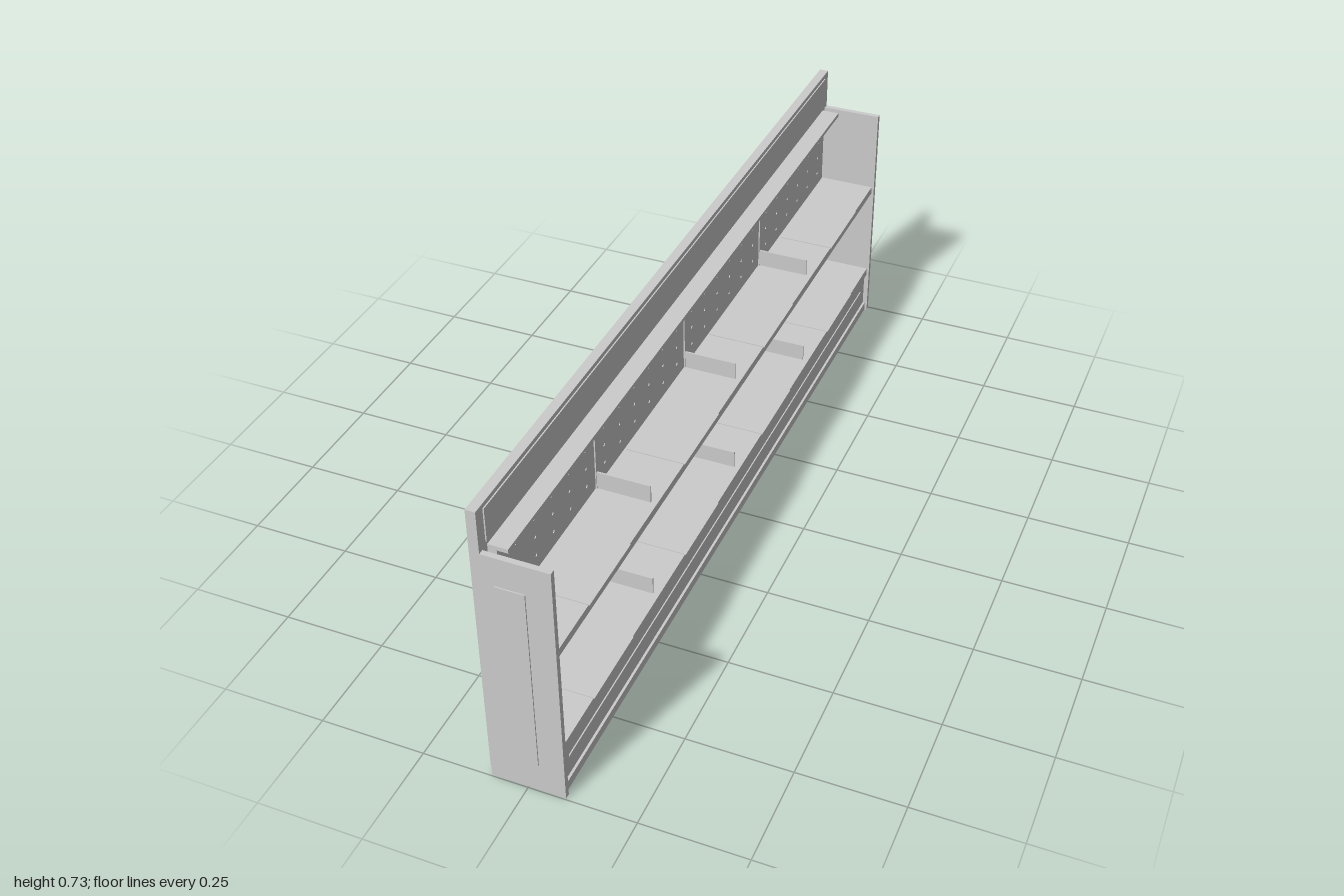
import * as THREE from 'three';

export function createModel() {
  const root = new THREE.Group();
  const grey = new THREE.MeshStandardMaterial({ color: 0xcccccc });
  grey.name = 'lightGrey';

  // box given by its min and max corner along each axis
  const box = (name, x0, x1, y0, y1, z0, z1) => {
    const mesh = new THREE.Mesh(new THREE.BoxGeometry(x1 - x0, y1 - y0, z1 - z0), grey);
    mesh.position.set((x0 + x1) / 2, (y0 + y1) / 2, (z0 + z1) / 2);
    mesh.name = name;
    root.add(mesh);
    return mesh;
  };

  const wall = -0.065; // face of the rear wall
  const inner = 0.984; // inside face of the end panels

  // rear wall with header board
  box('backPanel', -0.0875, wall - 0.002, 0.028, 0.725, -0.997, 0.997);
  box('backKick', -0.086, wall, 0, 0.028, -0.997, 0.997);
  box('headerRim', wall - 0.002, wall, 0.622, 0.725, -0.997, 0.997);
  box('headerPlate', wall, wall + 0.003, 0.633, 0.714, -0.97, 0.97);

  // end panels with a thin raised plate outside
  for (const s of [-1, 1]) {
    const span = (a, b) => [Math.min(a * s, b * s), Math.max(a * s, b * s)];
    box('endPanel', wall - 0.002, 0.0865, 0, 0.622, ...span(inner, 0.997));
    box('endPlate', -0.038, 0.028, 0.077, 0.55, ...span(0.997, 1));
    box('canopyBracket', wall, -0.045, 0.595, 0.612, ...span(0.955, 0.965));
  }

  // perforated liners, one for each bay and level
  const bays = [-0.738, -0.246, 0.246, 0.738];
  const levels = [[0.14, 0.385], [0.405, 0.622]];
  for (const z of bays) {
    for (const [y0, y1] of levels) {
      const w = 0.243;
      const h = y1 - y0;
      const shape = new THREE.Shape();
      shape.moveTo(-w, 0).lineTo(w, 0).lineTo(w, h).lineTo(-w, h).closePath();
      for (let i = 0; i < 6; i++) {
        for (let j = 0; j < 4; j++) {
          const hole = new THREE.Path();
          hole.absarc(-0.2 + i * 0.08, h * (0.17 + j * 0.22), 0.004, 0, Math.PI * 2, true);
          shape.holes.push(hole);
        }
      }
      const geometry = new THREE.ExtrudeGeometry(shape, { depth: 0.002, bevelEnabled: false, curveSegments: 4 });
      const liner = new THREE.Mesh(geometry, grey);
      liner.name = 'perforatedLiner';
      liner.rotation.y = Math.PI / 2;
      liner.position.set(wall - 0.002, y0, z);
      root.add(liner);
    }
  }

  // base: plinth, recessed front and deck
  box('plinth', wall, 0.08, 0, 0.024, -inner, inner);
  box('baseFront', wall, 0.074, 0.024, 0.118, -inner, inner);
  box('baseTrim', 0.074, 0.077, 0.075, 0.08, -0.95, 0.95);
  box('bottomDeck', wall, 0.08, 0.118, 0.14, -inner, inner);

  // middle shelf and narrow top canopy
  box('middleShelf', wall, 0.08, 0.385, 0.405, -inner, inner);
  box('topCanopy', wall, -0.02, 0.612, 0.622, -0.965, 0.965);

  // posts, low dividers and shelf brackets at the bay joints
  for (const z of [-0.492, 0, 0.492]) {
    for (const [y0, y1] of levels) {
      box('wallPost', wall, wall + 0.003, y0, y1, z - 0.004, z + 0.004);
      box('shelfDivider', wall, 0.065, y0, y0 + 0.044, z - 0.002, z + 0.002);
    }
    box('shelfBracket', wall, 0.05, 0.37, 0.385, z - 0.006, z + 0.006);
  }

  // thin mats lying on each shelf bay
  for (const z of bays) {
    for (const [y] of levels) box('shelfMat', wall + 0.005, 0.083, y, y + 0.002, z - 0.1, z + 0.1);
  }

  return root;
}
